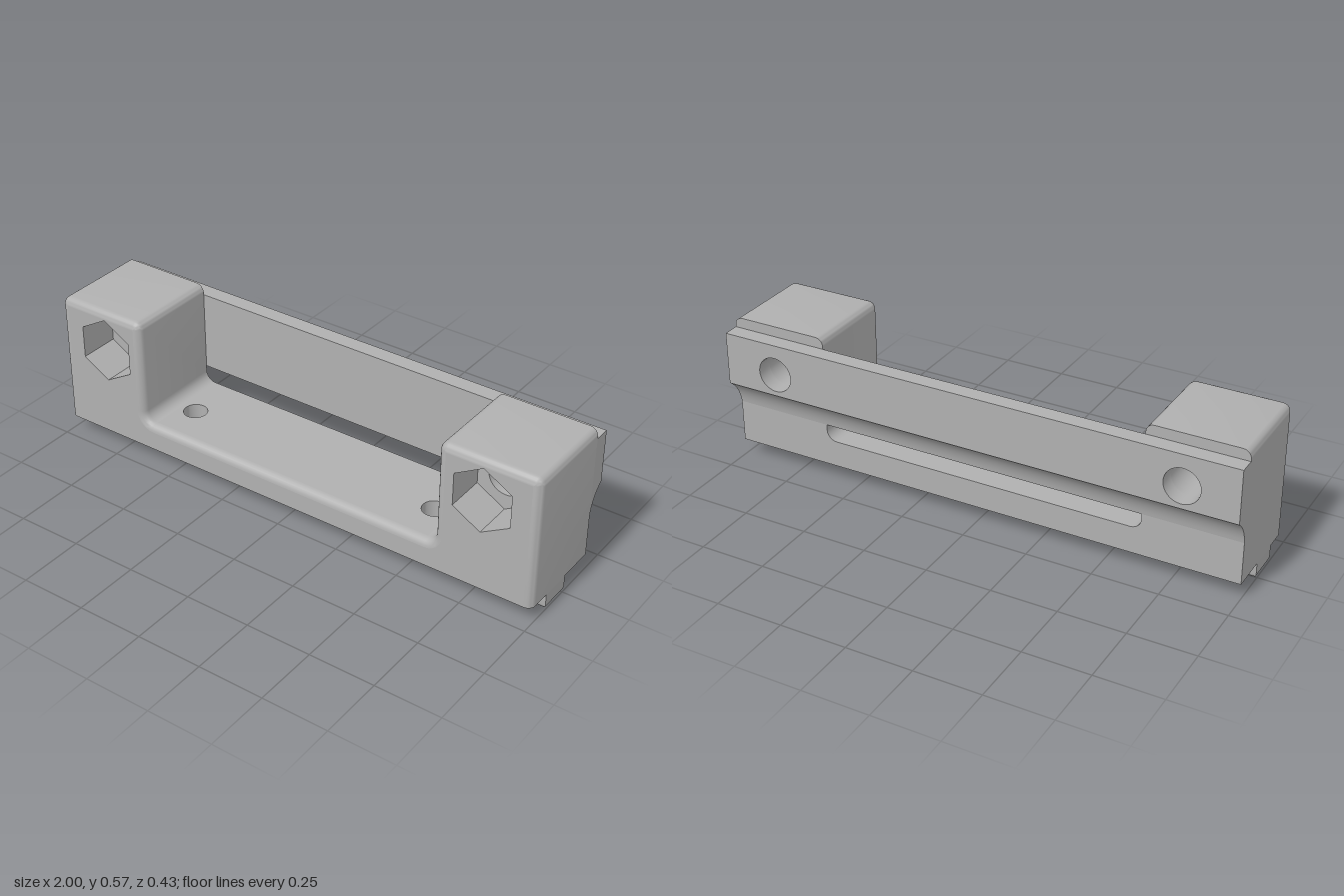
import * as THREE from 'three';
import { toCreasedNormals } from 'three/addons/utils/BufferGeometryUtils.js';

const LEFT = -0.634, RIGHT = 0.622;            // inner walls of the two towers
const BASE = 0.063, FLOOR = 0.165, TOP = 0.573;
const BACK = -0.153, FRONT = 0.215, RAIL_BACK = -0.215, POCKET = 0.06;
const ROUND = 0.03, BEVEL = 0.029, FILLET = 0.04, STEPS = 6;
const BOLTS = [-0.796, 0.793], BOLT_Y = 0.415, BOLT_R = 0.067, HEX_R = 0.125;
const SCREWS = [-0.53, 0.516], SCREW_Z = 0.045, SCREW_R = 0.045;

const V2 = (x, y) => new THREE.Vector2(x, y);
const rect = (x0, y0, x1, y1) => [V2(x0, y0), V2(x1, y0), V2(x1, y1), V2(x0, y1)];

function polygon(x, y, r, n) {
  return Array.from({ length: n }, (_, i) => {
    const a = Math.PI / 2 + (i / n) * Math.PI * 2;
    return V2(x + r * Math.cos(a), y + r * Math.sin(a));
  });
}

function shapeOf(points, holes = []) {
  const shape = new THREE.Shape(points);
  shape.holes = holes.map(h => new THREE.Path(h));
  return shape;
}

// U-shaped front outline, pulled in by o
function outline(o) {
  const pts = [V2(-1 + o, BASE), V2(1 - o, BASE)];
  const arc = (cx, cy, r, from, to) => {
    for (let i = 0; i <= STEPS; i++) {
      const a = THREE.MathUtils.degToRad(from + (to - from) * i / STEPS);
      pts.push(V2(cx + r * Math.cos(a), cy + r * Math.sin(a)));
    }
  };
  const y = TOP - ROUND, r = ROUND - o;
  arc(1 - ROUND, y, r, 0, 90);
  arc(RIGHT + ROUND, y, r, 90, 180);
  arc(RIGHT - FILLET, FLOOR + FILLET, FILLET + o, 0, -90);
  arc(LEFT + FILLET, FLOOR + FILLET, FILLET + o, -90, -180);
  arc(LEFT - ROUND, y, r, 0, 90);
  arc(-1 + ROUND, y, r, 90, 180);
  return pts;
}

// Skin between rings; skip lists edges left open in the first band
function loft(rings, skip = [], cap = false) {
  const n = rings[0].length, index = [];
  for (let i = 0; i < rings.length - 1; i++) {
    for (let j = 0; j < n; j++) {
      if (i === 0 && skip.includes(j)) continue;
      const k = (j + 1) % n, a = i * n + j, b = i * n + k;
      index.push(a, b, b + n, a, b + n, a + n);
    }
  }
  const last = (rings.length - 1) * n;
  if (cap) for (let j = 1; j < n - 1; j++) index.push(last, last + j, last + j + 1);
  const g = new THREE.BufferGeometry().setFromPoints(rings.flat());
  g.setIndex(index);
  return g;
}

export function createModel() {
  const model = new THREE.Group();
  model.name = 'mountingBracket';
  const grey = new THREE.MeshStandardMaterial({ color: 0xb0b0b0, side: THREE.DoubleSide });
  grey.name = 'grey';

  const add = (name, geometry, x = 0, y = 0, z = 0) => {
    const mesh = new THREE.Mesh(toCreasedNormals(geometry, 0.6), grey);
    mesh.name = name;
    mesh.position.set(x, y, z);
    model.add(mesh);
  };

  // Body skin with a rounded front edge
  const rings = [outline(0).map(p => new THREE.Vector3(p.x, p.y, BACK))];
  for (let i = 0; i <= STEPS; i++) {
    const a = (i / STEPS) * Math.PI / 2;
    const z = FRONT - BEVEL * (1 - Math.sin(a));
    rings.push(outline(BEVEL * (1 - Math.cos(a))).map(p => new THREE.Vector3(p.x, p.y, z)));
  }
  const floorEdge = 2 + 3 * (STEPS + 1) - 1;
  add('bodySkin', loft(rings, [0, floorEdge]));

  // Front and back faces, pierced for the bolts
  const hexes = BOLTS.map(x => polygon(x, BOLT_Y, HEX_R, 6));
  const bores = BOLTS.map(x => polygon(x, BOLT_Y, BOLT_R, 32));
  add('bodyFront', new THREE.ShapeGeometry(shapeOf(outline(BEVEL), hexes)), 0, 0, FRONT);
  add('bodyBack', new THREE.ShapeGeometry(shapeOf(outline(0), bores)), 0, 0, BACK);

  // Floor and underside, pierced for the screws
  const flat = (x0, x1, s) => new THREE.ShapeGeometry(shapeOf(
    rect(x0, Math.min(s * BACK, s * (FRONT - BEVEL)), x1, Math.max(s * BACK, s * (FRONT - BEVEL))),
    SCREWS.map(x => polygon(x, s * SCREW_Z, SCREW_R, 32)))).rotateX(s * Math.PI / 2);
  add('floor', flat(LEFT + FILLET, RIGHT - FILLET, -1), 0, FLOOR);
  add('underside', flat(-1, 1, 1), 0, BASE);
  for (const x of SCREWS) {
    add('screwHole', new THREE.CylinderGeometry(SCREW_R, SCREW_R, FLOOR - BASE, 32, 1, true),
      x, (FLOOR + BASE) / 2, SCREW_Z);
  }

  // Hexagonal nut pockets and bolt bores
  const tube = (r, z0, z1, n) =>
    new THREE.CylinderGeometry(r, r, z1 - z0, n, 1, true).rotateX(Math.PI / 2).translate(0, 0, (z0 + z1) / 2);
  BOLTS.forEach((x, i) => {
    add('nutPocketWall', tube(HEX_R, POCKET, FRONT, 6), x, BOLT_Y);
    add('nutPocketSeat', new THREE.ShapeGeometry(shapeOf(hexes[i], [bores[i]])), 0, 0, POCKET);
    add('boltBore', tube(BOLT_R, BACK, POCKET, 32), x, BOLT_Y);
  });

  // Back rail with a concave lower edge
  const railLow = 0.33, railTop = 0.533;
  add('backRail', new THREE.ExtrudeGeometry(shapeOf(rect(-1, railLow, 1, railTop), bores),
    { depth: BACK - RAIL_BACK, bevelEnabled: false }), 0, 0, RAIL_BACK);
  const cove = new THREE.Shape();
  cove.moveTo(-BACK, 0.226);
  cove.quadraticCurveTo(0.162, 0.292, -RAIL_BACK, railLow);
  cove.lineTo(-BACK, railLow);
  add('railCove', new THREE.ExtrudeGeometry(cove, { depth: 2, bevelEnabled: false, curveSegments: 10 })
    .rotateY(Math.PI / 2), -1);

  // Locating feet with rounded lower edges
  const foot = (x0, x1) => {
    const r = 0.018;
    const ring = (o, y) => rect(x0 + o, -0.01 + o, x1 - o, 0.115 - o).map(p => new THREE.Vector3(p.x, y, p.y));
    const levels = [ring(0, BASE)];
    for (let i = 0; i <= STEPS; i++) {
      const a = (i / STEPS) * Math.PI / 2;
      levels.push(ring(r * (1 - Math.cos(a)), r * (1 - Math.sin(a))));
    }
    return loft(levels, [], true);
  };
  add('rightFoot', foot(-1, -0.715));
  add('middleFoot', foot(-0.35, 0.33));
  add('leftFoot', foot(0.7, 1));

  return model;
}
